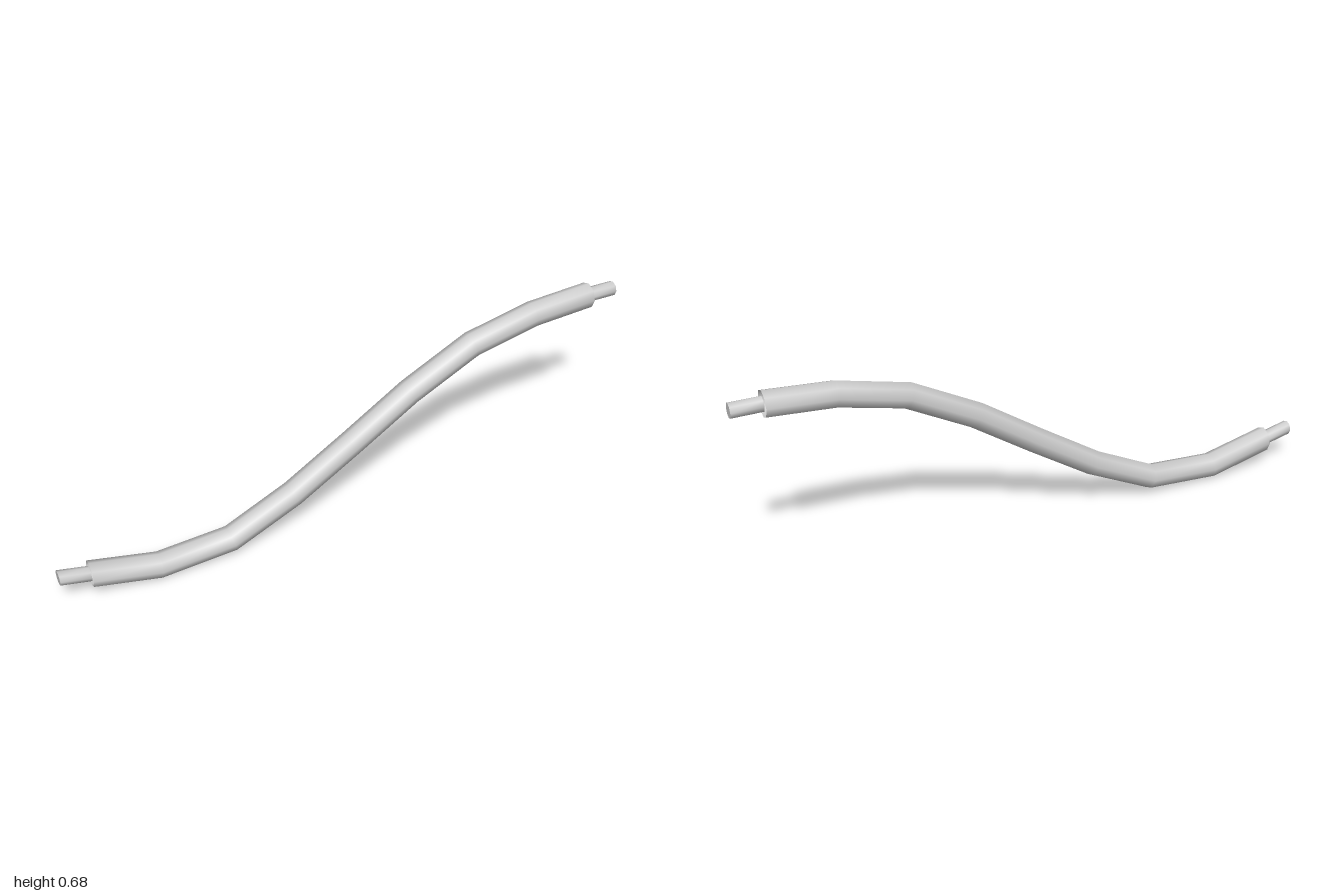
import * as THREE from 'three';

const SIDES = 8;

// Sweep an eight-sided section through stations of [x, y, tilt]
function sweep(stations, radius, capped) {
  const pos = [], idx = [];
  const addRing = ([x, y, tilt]) => {
    const first = pos.length / 3;
    for (let i = 0; i < SIDES; i++) {
      const a = (i / SIDES) * Math.PI * 2;
      const up = Math.cos(a) * radius;
      pos.push(x - Math.sin(tilt) * up, y + Math.cos(tilt) * up, Math.sin(a) * radius);
    }
    return first;
  };
  const rings = stations.map(addRing);
  for (let r = 0; r < rings.length - 1; r++) {
    for (let i = 0; i < SIDES; i++) {
      const j = (i + 1) % SIDES;
      const a = rings[r] + i, b = rings[r] + j, c = rings[r + 1] + i, d = rings[r + 1] + j;
      idx.push(a, b, c, b, d, c);
    }
  }
  // Flat ends on their own rings, so the rim stays sharp
  if (capped) {
    const s = addRing(stations[0]), e = addRing(stations[stations.length - 1]);
    for (let i = 1; i < SIDES - 1; i++) {
      idx.push(s, s + i + 1, s + i);
      idx.push(e, e + i, e + i + 1);
    }
  }
  const geo = new THREE.BufferGeometry();
  geo.setAttribute('position', new THREE.Float32BufferAttribute(pos, 3));
  geo.setIndex(idx);
  geo.computeVertexNormals();
  return geo;
}

export function createModel() {
  const group = new THREE.Group();
  group.name = 'bentRod';
  const material = new THREE.MeshStandardMaterial({ color: 0xcccccc, side: THREE.DoubleSide });
  const add = (name, geometry) => {
    const mesh = new THREE.Mesh(geometry, material);
    mesh.name = name;
    group.add(mesh);
  };

  // Outer sleeve, an open S-curved tube
  add('sleeve', sweep([
    [-0.9, 0.097, 0], [-0.675, 0.045, -0.07], [-0.425, 0.062, 0.26],
    [-0.2, 0.17, 0.5], [0.015, 0.307, 0.58], [0.225, 0.446, 0.52],
    [0.452, 0.565, 0.34], [0.68, 0.619, 0.15], [0.9, 0.635, 0],
  ], 0.0435, false));

  // Thin core ends sticking out of the sleeve
  add('rightCoreEnd', sweep([[-1, 0.12, 0], [-0.9, 0.098, 0]], 0.025, true));
  add('leftCoreEnd', sweep([[0.9, 0.635, 0], [1, 0.635, 0]], 0.025, true));
  return group;
}
